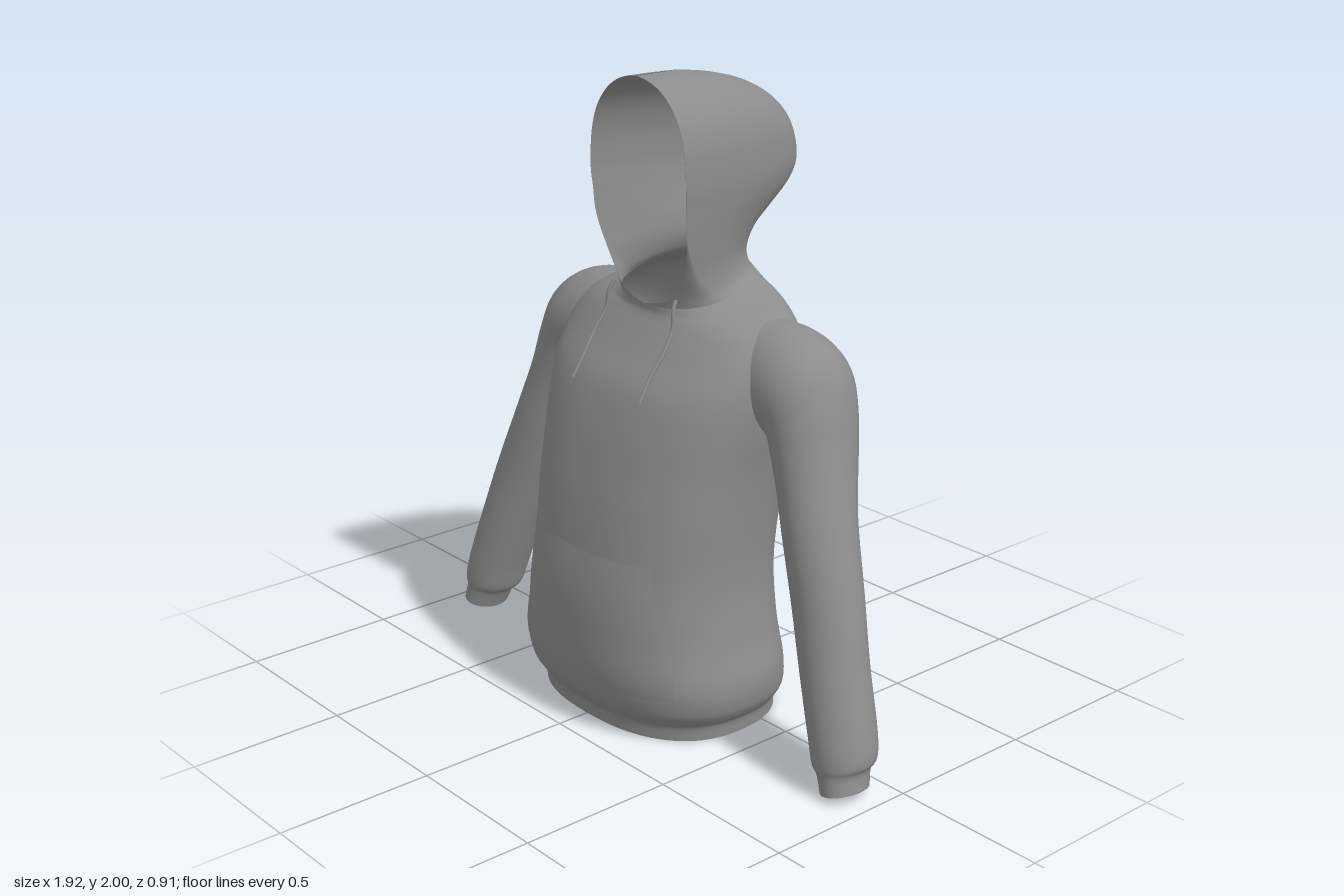
import * as THREE from 'three';
import { mergeVertices } from 'three/addons/utils/BufferGeometryUtils.js';

// Body sections: y, half width, front z, back z, widest z, half opening, tilt
const BODY = [
  [0, .40, .39, -.21, .1, 0, 0],
  [.045, .405, .395, -.21, .1, 0, 0],
  [.07, .425, .412, -.216, .1, 0, 0],
  [.11, .445, .435, -.222, .1, 0, 0],
  [.19, .45, .45, -.212, .1, 0, 0],
  [.32, .42, .445, -.20, .1, 0, 0],
  [.5, .40, .435, -.20, .1, 0, 0],
  [.7, .41, .405, -.222, .09, 0, 0],
  [.85, .425, .37, -.25, .06, 0, 0],
  [.97, .445, .335, -.268, .03, 0, 0],
  [1.08, .46, .29, -.265, 0, 0, 0],
  [1.17, .46, .225, -.255, -.03, 0, 0],
  [1.25, .41, .175, -.242, -.04, 0, .06],
  [1.29, .35, .155, -.235, -.04, 0, .14],
  [1.315, .275, .147, -.225, -.03, 0, .2],
  [1.34, .215, .147, -.216, -.01, 0, .25],
];
const HOOD = [
  [1.34, .215, .147, -.216, -.01, 0, .25],
  [1.37, .20, .153, -.212, .04, .13, .2],
  [1.43, .198, .165, -.218, .1, .17, .12],
  [1.5, .207, .173, -.26, .14, .2, .05],
  [1.56, .213, .175, -.33, .16, .212, 0],
  [1.63, .218, .175, -.42, .165, .217, 0],
  [1.7, .222, .175, -.448, .17, .221, 0],
  [1.8, .215, .175, -.42, .17, .214, 0],
  [1.88, .19, .175, -.35, .17, .189, 0],
  [1.94, .145, .175, -.245, .17, .144, 0],
  [1.975, .096, .175, -.13, .17, .095, 0],
  [1.993, .047, .175, -.03, .17, .046, 0],
  [2, .003, .175, .02, .17, .002, 0],
];
// Sleeve sections: outer x, outer y, inner x, inner y, centre z, half depth
const SLEEVE = [
  [.35, 1.295, .34, .97, -.06, .15],
  [.45, 1.288, .39, .94, -.06, .165],
  [.54, 1.258, .42, .95, -.055, .165],
  [.61, 1.2, .44, .94, -.05, .16],
  [.655, 1.1, .46, .89, -.04, .152],
  [.69, .97, .495, .82, -.02, .14],
  [.75, .79, .55, .69, .02, .12],
  [.83, .58, .62, .5, .055, .107],
  [.89, .38, .69, .32, .085, .105],
  [.945, .2, .75, .16, .105, .106],
  [.962, .12, .775, .085, .115, .1],
  [.95, .085, .803, .06, .125, .086],
  [.957, .035, .828, .005, .135, .08],
];

// Catmull-Rom blend of a table of sections, t from 0 to 1
function blend(table, t) {
  const f = t * (table.length - 1);
  const i = Math.min(Math.floor(f), table.length - 2);
  const u = f - i;
  const row = (k) => table[THREE.MathUtils.clamp(k, 0, table.length - 1)];
  return table[0].map((_, c) => {
    const [a, b, d, e] = [row(i - 1)[c], row(i)[c], row(i + 1)[c], row(i + 2)[c]];
    const m0 = (d - a) / 2, m1 = (e - b) / 2;
    return b + u * (m0 + u * (3 * (d - b) - 2 * m0 - m1 + u * (2 * (b - d) + m0 + m1)));
  });
}

// Smooth grid surface from a point function of (u, v)
function surface(nu, nv, point) {
  const pos = [], index = [];
  for (let j = 0; j <= nv; j++) {
    for (let i = 0; i <= nu; i++) pos.push(...point(i / nu, j / nv));
  }
  for (let j = 0; j < nv; j++) {
    for (let i = 0; i < nu; i++) {
      const a = j * (nu + 1) + i, c = a + nu + 1;
      index.push(a, a + 1, c, a + 1, c + 1, c);
    }
  }
  let geo = new THREE.BufferGeometry();
  geo.setAttribute('position', new THREE.Float32BufferAttribute(pos, 3));
  geo.setIndex(index);
  geo = mergeVertices(geo, 1e-5);
  geo.computeVertexNormals();
  return geo;
}

const roundness = (y) => 2.4 - .4 * THREE.MathUtils.smoothstep(y, 1.2, 1.6);

// Point on a rounded section, running from the front round the back
function bodyPoint(table, u, v) {
  const [y, w, zf, zb, zm, open, tilt] = blend(table, v);
  const n = roundness(y);
  const start = Math.asin(Math.min(1, Math.pow(Math.max(0, open) / w, n / 2)));
  const a = start + u * (2 * Math.PI - 2 * start);
  const s = Math.sin(a), c = Math.cos(a);
  const x = w * Math.sign(s) * Math.pow(Math.abs(s), 2 / n);
  const z = zm + ((c > 0 ? zf : zb) - zm) * Math.pow(Math.abs(c), 2 / n);
  return [Math.abs(x) < 1e-6 ? 0 : x, y - tilt * z, z];
}

// Depth of the front of the body at a given x and y
function frontZ(x, y) {
  let i = 0;
  while (i < BODY.length - 2 && BODY[i + 1][0] < y) i++;
  const t = (y - BODY[i][0]) / (BODY[i + 1][0] - BODY[i][0]);
  const [, w, zf, , zm] = blend(BODY, (i + t) / (BODY.length - 1));
  const n = roundness(y);
  return zm + (zf - zm) * Math.pow(Math.max(0, 1 - Math.pow(Math.abs(x) / w, n)), 1 / n);
}

export function createModel() {
  const model = new THREE.Group();
  const fabric = new THREE.MeshStandardMaterial({ color: 0x8c8c8c, side: THREE.DoubleSide });
  fabric.name = 'grey fabric';
  const add = (name, geo) => {
    const mesh = new THREE.Mesh(geo, fabric);
    mesh.name = name;
    model.add(mesh);
  };

  add('torso', surface(80, 90, (u, v) => bodyPoint(BODY, u, v)));
  add('hood', surface(80, 96, (u, v) => bodyPoint(HOOD, u, v)));

  // Front pocket, lifted at its slanted side openings
  add('pocket', surface(40, 24, (u, v) => {
    const y = .16 + v * .42;
    const half = .365 - .08 * THREE.MathUtils.smoothstep(y, .26, .58);
    const x = (2 * u - 1) * half;
    return [x, y, frontZ(x, y) + .001 + .011 * Math.sin(Math.PI * v)];
  }));

  for (const [side, s] of [['left', 1], ['right', -1]]) {
    add(side + 'Sleeve', surface(40, 72, (u, v) => {
      const [ox, oy, ix, iy, zc, zr] = blend(SLEEVE, v);
      const a = s * u * 2 * Math.PI, c = Math.cos(a);
      return [
        s * ((ox + ix) / 2 + c * (ox - ix) / 2),
        (oy + iy) / 2 + c * (oy - iy) / 2,
        zc + zr * Math.sin(a),
      ];
    }));

    // Drawstring hanging over the chest
    const path = [[.145, 1.345, .145], [.152, 1.315, .16]].map((p) => new THREE.Vector3(s * p[0], p[1], p[2]));
    for (const [x, y] of [[.156, 1.26], [.163, 1.2], [.158, 1.13], [.16, 1.06]]) {
      path.push(new THREE.Vector3(s * x, y, frontZ(x, y) + .01));
    }
    add(side + 'Drawstring', new THREE.TubeGeometry(new THREE.CatmullRomCurve3(path), 32, .006, 8));
  }
  return model;
}
